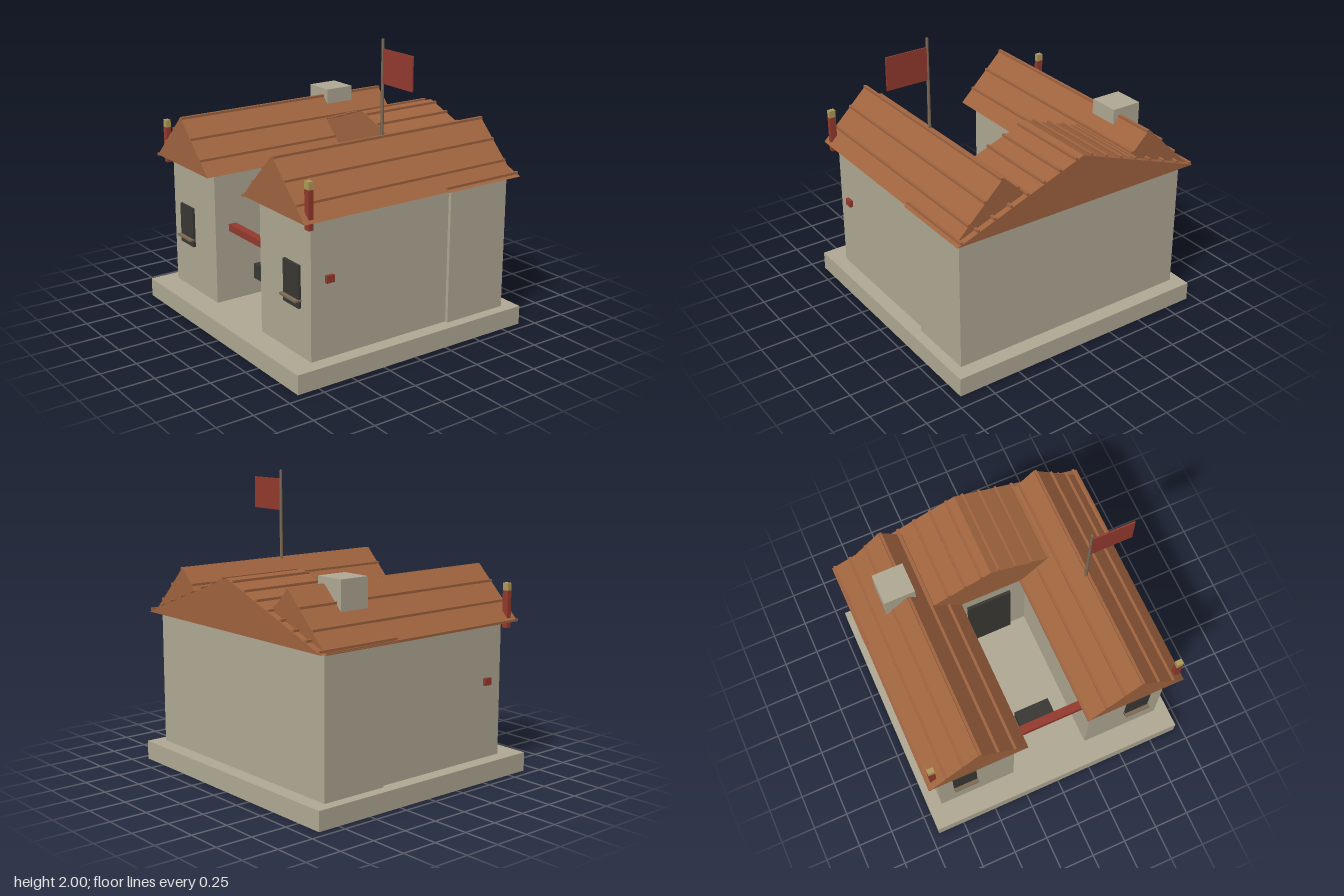
import * as THREE from 'three';

const material = (color) => new THREE.MeshStandardMaterial({ color });
const STONE = material(0xb0a994);
const ROOF = material(0xa0643f);
const RED = material(0x943a2e);
const DARK = material(0x3a3833);
const GOLD = material(0xb09a58);
const WOOD = material(0x7d6a55);

export function createModel() {
  const model = new THREE.Group();

  const add = (parent, name, geometry, mat) => {
    const mesh = new THREE.Mesh(geometry, mat);
    mesh.name = name;
    parent.add(mesh);
    return mesh;
  };

  // Box given by its limits on each axis
  const box = (parent, name, mat, [x0, x1], [y0, y1], [z0, z1]) => {
    const mesh = add(parent, name, new THREE.BoxGeometry(x1 - x0, y1 - y0, z1 - z0), mat);
    mesh.position.set((x0 + x1) / 2, (y0 + y1) / 2, (z0 + z1) / 2);
    return mesh;
  };

  // Gable roof with its ridge along z, plus evenly spaced tile ribs
  const EAVE = 1.05, RIDGE = 1.39;
  const gableRoof = (name, cx, half, z0, z1, firstRib, ribCount, ribLift) => {
    const roof = new THREE.Group();
    roof.name = name;
    const gable = new THREE.Shape([
      new THREE.Vector2(cx - half, EAVE),
      new THREE.Vector2(cx + half, EAVE),
      new THREE.Vector2(cx, RIDGE),
    ]);
    const prism = new THREE.ExtrudeGeometry(gable, { depth: z1 - z0, bevelEnabled: false });
    prism.translate(0, 0, z0);
    add(roof, 'roofSlopes', prism, ROOF);
    for (let i = 0; i < ribCount; i++) {
      const dx = firstRib + i * 0.12;
      const y = RIDGE - (RIDGE - EAVE) * Math.abs(dx) / half + ribLift;
      box(roof, 'tileRib', ROOF, [cx + dx - 0.009, cx + dx + 0.009], [y - 0.008, y + 0.008], [z0, z1]);
    }
    model.add(roof);
  };

  // Plinth and rear hall
  box(model, 'plinth', STONE, [-0.943, 0.943], [0, 0.13], [-0.903, 0.903]);
  box(model, 'rearHall', STONE, [-0.87, 0.87], [0.13, EAVE], [-0.8, -0.325]);
  gableRoof('rearRoof', 0, 0.925, -0.87, -0.263, -0.905, 16, 0.01);
  box(model, 'door', DARK, [-0.163, 0.163], [0.13, 0.785], [-0.33, -0.305]);

  // Two side wings with window, sill and corner post
  for (const s of [-1, 1]) {
    const side = s > 0 ? 'left' : 'right';
    const span = (a, b) => (s > 0 ? [a, b] : [-b, -a]);
    box(model, side + 'Wing', STONE, span(0.283, 0.847), [0.13, EAVE], [-0.325, 0.74]);
    gableRoof(side + 'WingRoof', s * 0.565, 0.345, -0.828, 0.825, -0.348, 6, 0.004);
    box(model, side + 'Window', DARK, span(0.567, 0.738), [0.45, 0.73], [0.735, 0.758]);
    box(model, side + 'WindowSill', WOOD, span(0.562, 0.743), [0.495, 0.508], [0.74, 0.785]);
    box(model, side + 'Post', RED, span(0.848, 0.893), [1.0, 1.25], [0.75, 0.784]);
    box(model, side + 'PostCap', GOLD, span(0.848, 0.893), [1.25, 1.3], [0.75, 0.784]);
  }

  // Beam across the courtyard and the dark chest under it
  box(model, 'crossBeam', RED, [-0.87, 0.87], [0.63, 0.678], [0.58, 0.638]);
  box(model, 'courtyardChest', DARK, [-0.13, 0.13], [0.318, 0.422], [0.41, 0.54]);

  // Chimney
  box(model, 'chimney', STONE, [-0.72, -0.505], [1.05, 1.435], [-0.545, -0.33]);

  // Flagpole and flag
  const pole = add(model, 'flagpole', new THREE.CylinderGeometry(0.009, 0.012, 0.75, 8), WOOD);
  pole.position.set(0.563, 1.625, 0);
  box(model, 'flag', RED, [0.57, 0.86], [1.72, 1.94], [-0.005, 0.005]);

  return model;
}
